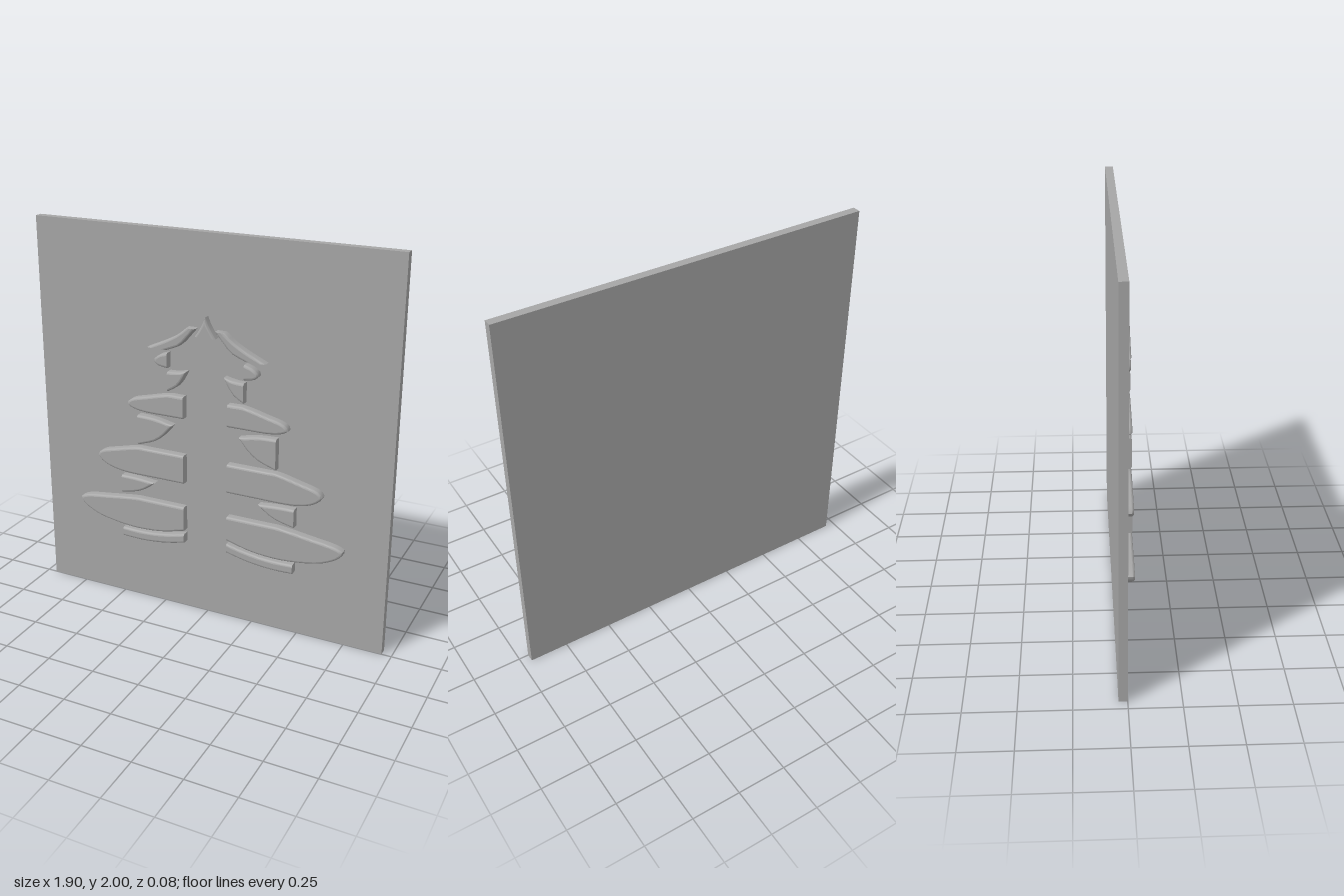
import * as THREE from 'three';
import { mergeGeometries, toCreasedNormals } from 'three/addons/utils/BufferGeometryUtils.js';

const HEIGHT = 0.042; // relief height, also the plate thickness
const ROUND = 0.012;  // rounding of the relief's curved edges
const TRUNK = 0.12;   // half width of the gap left for the trunk
const FINE = 0.02, COARSE = 0.035; // sampling of blunt and pointed pieces
const mix = THREE.MathUtils.lerp;

// Samples the curves (clockwise); edges joining one curve to the next stay sharp.
function outline(curves, spacing) {
  const pts = [];
  const same = (p, q) => Math.hypot(p.x - q.x, p.y - q.y) < 1e-4;
  for (const c of curves) {
    const curve = new THREE.CatmullRomCurve3(c.map(([x, y]) => new THREE.Vector3(x, y, 0)));
    const n = Math.max(2, Math.round(curve.getLength() / spacing));
    curve.getSpacedPoints(n).forEach((p, i) => {
      if (pts.length && same(pts[pts.length - 1], p)) pts.pop();
      pts.push({ x: p.x, y: p.y, round: i < n });
    });
  }
  if (same(pts[0], pts[pts.length - 1])) pts.pop();
  return pts;
}

// Moves each rounded edge inwards by d, keeping cut edges in place.
function inset(pts, d) {
  const n = pts.length;
  const edges = pts.map((p, i) => {
    const q = pts[(i + 1) % n], l = Math.hypot(q.x - p.x, q.y - p.y);
    return { x: (q.y - p.y) / l, y: (p.x - q.x) / l, d: p.round ? d : 0 };
  });
  return pts.map((p, i) => {
    const a = edges[(i + n - 1) % n], b = edges[i];
    const det = a.x * b.y - a.y * b.x;
    if (Math.abs(det) < 0.02) {
      const m = (a.d + b.d) / 2;
      return [p.x + b.x * m, p.y + b.y * m];
    }
    return [p.x + (a.d * b.y - b.d * a.y) / det, p.y + (a.x * b.d - b.x * a.d) / det];
  });
}

// Raised pad: stacked outlines for the wall and rounding, closed by a flat face.
function reliefGeometry(curves, spacing, side) {
  const pts = outline(curves, spacing), n = pts.length;
  const rings = [[0, 0]];
  for (let k = 0; k <= 4; k++) {
    const t = (k / 4) * Math.PI / 2;
    rings.push([ROUND * (1 - Math.cos(t)), HEIGHT - ROUND + ROUND * Math.sin(t)]);
  }
  const wall = [], cap = [];
  const put = (out, a, b, c) => {
    const tri = side > 0 ? [a, b, c] : [a, c, b];
    tri.forEach(v => out.push(v[0] * side, v[1], v[2]));
  };
  const loops = rings.map(([d, z]) => inset(pts, d).map(([x, y]) => [x, y, z]));
  for (let k = 0; k + 1 < loops.length; k++) {
    for (let i = 0; i < n; i++) {
      const j = (i + 1) % n, lo = loops[k], hi = loops[k + 1];
      put(wall, lo[i], hi[j], lo[j]);
      put(wall, lo[i], hi[i], hi[j]);
    }
  }
  const top = loops[loops.length - 1].slice().reverse();
  const flat = top.map(p => new THREE.Vector2(p[0], p[1]));
  for (const [a, b, c] of THREE.ShapeUtils.triangulateShape(flat, [])) put(cap, top[a], top[b], top[c]);
  const make = data => {
    const g = new THREE.BufferGeometry();
    g.setAttribute('position', new THREE.Float32BufferAttribute(data, 3));
    g.computeVertexNormals();
    return g;
  };
  return mergeGeometries([toCreasedNormals(make(wall), 0.9), make(cap)]);
}

// Bough: flat top to the shoulder, blunt tip, belly curving back to the trunk.
function bough(shoulder, top, tipX, tipY, belly, bottom, innerBottom) {
  const over = (t, f) => [mix(shoulder, tipX, t), mix(top, tipY, f)];
  const under = (t, f) => [mix(tipX, belly, t), mix(tipY, bottom, f)];
  return [[
    [TRUNK, top], [shoulder - 0.04, top], over(0, 0), over(0.5, 0.35), over(0.9, 0.7), [tipX, tipY],
    under(0.05, 0.27), under(0.28, 0.68), under(0.65, 0.93), under(1, 1),
    [mix(belly, TRUNK, 0.5), mix(bottom, innerBottom, 0.25)], [TRUNK, innerBottom],
  ]];
}

// Twig: cut straight on its outer side, curving to a point on the inner side.
function twig(x, low, high, tipX, tipY) {
  const under = (t, f) => [mix(x, tipX, t), mix(low, tipY, f)];
  return [
    [under(0, 0), under(0.5, 0.27), under(0.78, 0.6), under(1, 1)],
    [[tipX, tipY], [mix(tipX, x, 0.5), mix(tipY, high, 0.8)], [x, high]],
  ];
}

// Base bar: two parallel sagging arcs.
function bar(upper, lower, outer) {
  const arc = (y, from, to) => [0, 0.25, 0.5, 0.75, 1].map(t => {
    const x = mix(from, to, t);
    return [x, y + 0.5 * (x - 0.4) ** 2];
  });
  return [arc(upper, TRUNK, outer), arc(lower, outer, TRUNK)];
}

// Left half of the tree, from the bottom up
const PIECES = [
  ['baseBar', FINE, bar(0.397, 0.347, 0.48)],
  ['bottomBough', FINE, bough(0.39, 0.587, 0.737, 0.524, 0.38, 0.412, 0.455)],
  ['lowerTwig', COARSE, twig(0.48, 0.603, 0.701, 0.288, 0.69)],
  ['lowerBough', FINE, bough(0.38, 0.873, 0.62, 0.795, 0.42, 0.72, 0.72)],
  ['middleTwig', COARSE, twig(0.378, 0.889, 1.05, 0.18, 1.025)],
  ['middleBough', FINE, bough(0.2, 1.185, 0.438, 1.106, 0.3, 1.07, 1.07)],
  ['upperTwig', COARSE, twig(0.205, 1.203, 1.305, 0.1, 1.32)],
  ['smallLeaf', FINE, [[[0.205, 1.4], [0.25, 1.384], [0.28, 1.355], [0.26, 1.332], [0.205, 1.322]]]],
  ['topBough', COARSE, [
    [[0.1, 1.54], [0.14, 1.506], [0.2, 1.47], [0.315, 1.416]],
    [[0.205, 1.416], [0.135, 1.447], [0.095, 1.49], [0.052, 1.54]]]],
];

export function createModel() {
  const grey = new THREE.MeshStandardMaterial({ color: 0xa6a6a6 });
  grey.name = 'grey';
  const model = new THREE.Group();
  model.name = 'reliefPanel';
  const add = (name, geometry, parent) => {
    const mesh = new THREE.Mesh(geometry, grey);
    mesh.name = name;
    parent.add(mesh);
    return mesh;
  };

  // Backing plate
  add('plate', new THREE.BoxGeometry(1.9, 2, HEIGHT), model).position.set(0, 1, -HEIGHT / 2);

  // Raised tree: mirrored pieces and the single tip
  const tree = new THREE.Group();
  tree.name = 'tree';
  model.add(tree);
  for (const [name, spacing, curves] of PIECES) {
    add(name + 'Left', reliefGeometry(curves, spacing, 1), tree);
    add(name + 'Right', reliefGeometry(curves, spacing, -1), tree);
  }
  const slope = [[0, 1.603], [0.02, 1.557], [0.055, 1.503]];
  const mirrored = slope.map(([x, y]) => [-x, y]).reverse();
  add('treetop', reliefGeometry([slope, mirrored], COARSE, 1), tree);
  return model;
}
